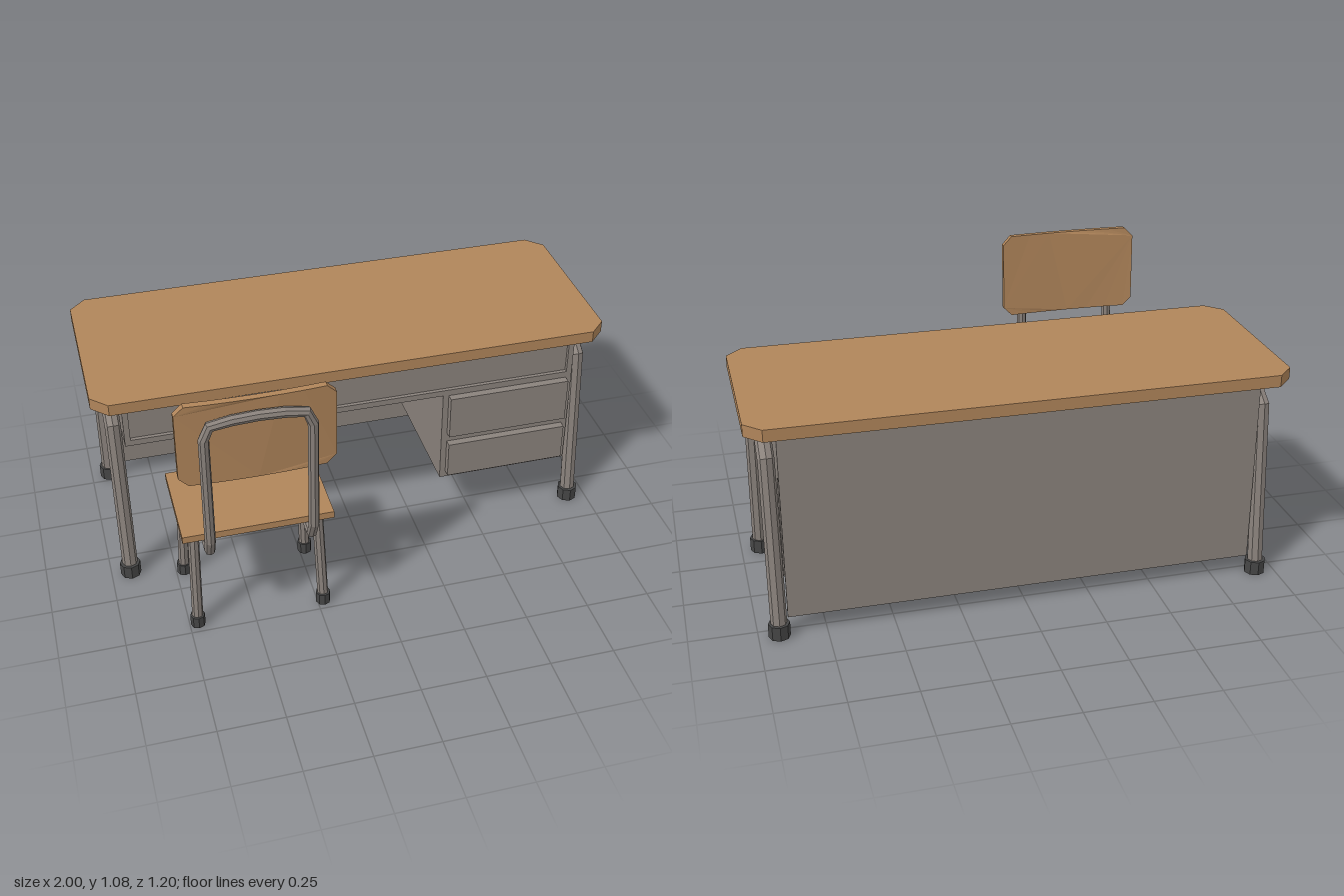
import * as THREE from 'three';

const material = (color) => new THREE.MeshStandardMaterial({ color, flatShading: true, side: THREE.DoubleSide });
const V = (x, y, z) => new THREE.Vector3(x, y, z);

// Straight-segment path whose rings sit exactly on the corners
class Polyline extends THREE.Curve {
  constructor(points) {
    super();
    this.points = points;
  }
  getPointAt(u) {
    return this.points[Math.round(u * (this.points.length - 1))].clone();
  }
  getTangentAt(u) {
    const p = this.points, i = Math.round(u * (p.length - 1)), t = V(0, 0, 0);
    if (i > 0) t.add(p[i].clone().sub(p[i - 1]).normalize());
    if (i < p.length - 1) t.add(p[i + 1].clone().sub(p[i]).normalize());
    return t.normalize();
  }
}

// Rectangle outline with cut corners
function cutRectangle(w, h, c, steps = 1) {
  const pts = [], x = w / 2, y = h / 2, run = x - c;
  pts.push([-x, y - c], [-x, -y + c]);
  for (let i = 0; i <= steps; i++) pts.push([-run + (2 * run * i) / steps, -y]);
  pts.push([x, -y + c], [x, y - c]);
  for (let i = 0; i <= steps; i++) pts.push([run - (2 * run * i) / steps, y]);
  return new THREE.Shape(pts.map(([a, b]) => new THREE.Vector2(a, b)));
}

export function createModel() {
  const model = new THREE.Group();
  const wood = material(0xb0855a), metal = material(0x8a827c), rubber = material(0x464646);

  const add = (parent, name, geometry, mat, x = 0, y = 0, z = 0) => {
    const mesh = new THREE.Mesh(geometry, mat);
    mesh.name = name;
    mesh.position.set(x, y, z);
    parent.add(mesh);
    return mesh;
  };
  // Box given by its limits on each axis
  const box = (parent, name, mat, [x0, x1], [y0, y1], [z0, z1]) =>
    add(parent, name, new THREE.BoxGeometry(x1 - x0, y1 - y0, z1 - z0), mat,
      (x0 + x1) / 2, (y0 + y1) / 2, (z0 + z1) / 2);
  const tube = (parent, name, points, r) =>
    add(parent, name, new THREE.TubeGeometry(new Polyline(points), points.length - 1, r, 8, false), metal);
  const foot = (parent, r, h, x, z) =>
    add(parent, 'foot', new THREE.CylinderGeometry(r, r, h, 8), rubber, x, h / 2, z);

  // Desk
  const desk = new THREE.Group();
  desk.name = 'desk';
  model.add(desk);

  const top = new THREE.ExtrudeGeometry(cutRectangle(2, 0.75, 0.062), { depth: 0.046, bevelEnabled: false });
  top.rotateX(-Math.PI / 2);
  add(desk, 'deskTop', top, wood, 0, 0.804, -0.225);

  // Arched leg frames at both ends
  const midZ = -0.22;
  const half = [[0.322, 0.03], [0.267, 0.685], [0.163, 0.757]];
  const arch = [...half, [0, 0.777], ...half.map(([z, y]) => [-z, y]).reverse()];
  for (const x of [-0.924, 0.924]) {
    tube(desk, 'legFrame', arch.map(([z, y]) => V(x, y, midZ + z)), 0.03);
    for (const s of [-1, 1]) foot(desk, 0.04, 0.055, x, midZ + s * 0.322);
  }

  // Back panel, wide drawer case and drawer pedestal
  box(desk, 'backPanel', metal, [-0.89, 0.89], [0.07, 0.804], [-0.538, -0.526]);
  box(desk, 'wideDrawerCase', metal, [-0.89, 0.89], [0.615, 0.804], [-0.53, 0.08]);
  box(desk, 'pedestal', metal, [0.355, 0.89], [0.21, 0.62], [-0.485, 0.095]);
  box(desk, 'upperDrawer', metal, [0.378, 0.867], [0.43, 0.613], [0.09, 0.125]);
  box(desk, 'lowerDrawer', metal, [0.378, 0.867], [0.237, 0.39], [0.09, 0.125]);

  // Raised border around the wide drawer
  const border = cutRectangle(1.78, 0.189, 0.0001);
  border.holes.push(cutRectangle(1.736, 0.14, 0.0001));
  add(desk, 'wideDrawerBorder', new THREE.ExtrudeGeometry(border, { depth: 0.015, bevelEnabled: false }),
    metal, 0, 0.7095, 0.08);

  // Chair
  const chair = new THREE.Group();
  chair.name = 'chair';
  chair.position.x = -0.473;
  model.add(chair);

  box(chair, 'seat', wood, [-0.282, 0.282], [0.445, 0.473], [0.112, 0.497]);

  // Splayed legs
  for (const s of [-1, 1]) {
    for (const [zFoot, zTop] of [[0.455, 0.43], [0.149, 0.168]]) {
      tube(chair, 'chairLeg', [V(s * 0.245, 0.02, zFoot), V(s * 0.233, 0.447, zTop)], 0.021);
      foot(chair, 0.028, 0.048, s * 0.245, zFoot);
    }
  }

  // Bent tube that carries the backrest
  const side = [[0.189, 0.42, 0.37], [0.189, 0.422, 0.528], [0.19, 0.492, 0.561],
    [0.19, 0.955, 0.578], [0.168, 1.008, 0.58], [0.09, 1.02, 0.58]];
  const hoop = [...side.map(([x, y, z]) => V(-x, y, z)), V(0, 1.024, 0.58),
    ...side.map(([x, y, z]) => V(x, y, z)).reverse()];
  tube(chair, 'backFrame', hoop, 0.02);
  for (const s of [-1, 1]) add(chair, 'tubeEnd', new THREE.CircleGeometry(0.02, 8), metal, s * 0.189, 0.42, 0.37);

  // Slightly curved, tilted backrest
  const rest = new THREE.ExtrudeGeometry(cutRectangle(0.564, 0.342, 0.035, 6), { depth: 0.024, bevelEnabled: false });
  const p = rest.attributes.position;
  for (let i = 0; i < p.count; i++) p.setZ(i, p.getZ(i) - 0.012 * (p.getX(i) / 0.282) ** 2);
  rest.computeVertexNormals();
  add(chair, 'backrest', rest, wood, 0, 0.911, 0.532).rotation.x = 0.035;

  return model;
}
